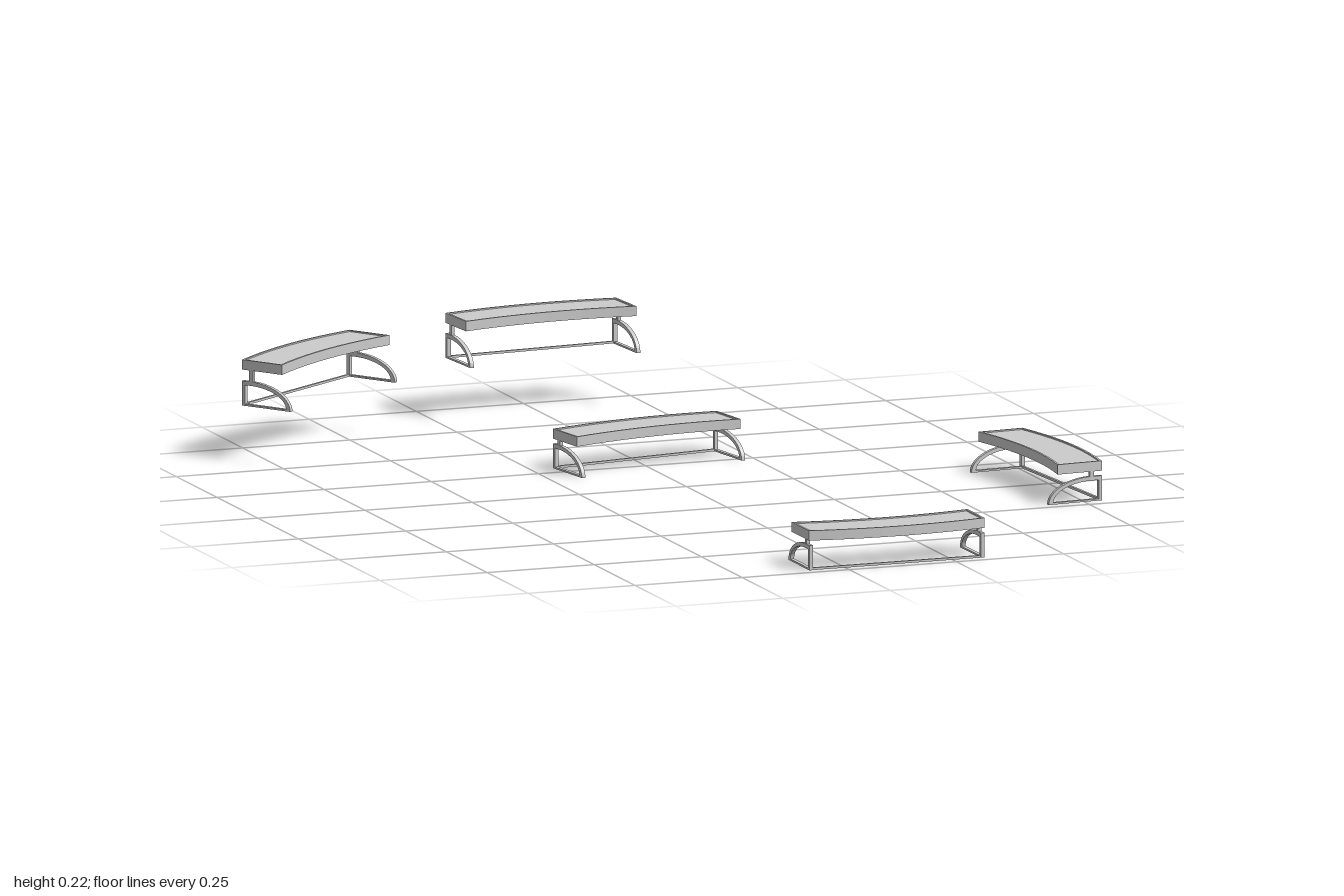
import * as THREE from 'three';

const material = new THREE.MeshStandardMaterial({ color: 0xcccccc });
const HALF = 0.205;   // half length of a bench
const DEPTH = 0.053;  // half depth of the seat
const SAG = 0.021;    // how far the middle bows backwards

function mesh(name, geometry, x = 0, y = 0, z = 0) {
  const m = new THREE.Mesh(geometry, material);
  m.name = name;
  m.position.set(x, y, z);
  return m;
}

// Outline of the bowed seat, pulled in by an inset
function seatOutline(inset) {
  const steps = 10, half = HALF - inset;
  const edge = (offset) => Array.from({ length: steps + 1 }, (_, i) => {
    const x = -half + (2 * half * i) / steps;
    return new THREE.Vector2(x, offset + SAG * (1 - (x / HALF) ** 2));
  });
  return [...edge(inset - DEPTH), ...edge(DEPTH - inset).reverse()];
}

function flatExtrude(shape, depth) {
  return new THREE.ExtrudeGeometry(shape, { depth, bevelEnabled: false }).rotateX(-Math.PI / 2);
}

// Quarter-arch profile: upright at the back, arch down to the front
function archPath(back, bottom, top, front) {
  const centre = -0.03;
  const path = new THREE.Shape();
  path.moveTo(back, bottom);
  path.lineTo(front, bottom);
  path.absellipse(centre, bottom, front - centre, top - bottom, 0, Math.PI / 2, false, 0);
  path.lineTo(back, top);
  path.closePath();
  return path;
}

function legGeometry() {
  const width = 0.009;
  const shape = archPath(-0.054, 0, 0.055, 0.074);
  shape.holes.push(archPath(-0.046, 0.004, 0.046, 0.063));
  const g = new THREE.ExtrudeGeometry(shape, { depth: width, bevelEnabled: false, curveSegments: 12 });
  return g.translate(0, 0, -width / 2).rotateY(-Math.PI / 2);
}

function createBench(height) {
  const bench = new THREE.Group();
  const thickness = 0.022, under = height - thickness;

  // Seat: a thin raised rim around a slightly recessed panel
  const rim = new THREE.Shape(seatOutline(0));
  rim.holes.push(new THREE.Path(seatOutline(0.005)));
  bench.add(mesh('seatRim', flatExtrude(rim, thickness), 0, under));
  bench.add(mesh('seatPanel', flatExtrude(new THREE.Shape(seatOutline(0.005)), thickness - 0.003), 0, under));

  // Arched end legs, each with a short post up to the seat
  const leg = legGeometry();
  for (const side of [-1, 1]) {
    const x = side * (HALF - 0.005);
    const postHeight = under - 0.05;
    bench.add(mesh('archedLeg', leg, x));
    bench.add(mesh('seatPost', new THREE.BoxGeometry(0.008, postHeight, 0.01), x, 0.05 + postHeight / 2, -0.03));
  }

  // Floor bar joining the two uprights
  bench.add(mesh('floorBar', new THREE.BoxGeometry(2 * HALF - 0.015, 0.005, 0.006), 0, 0.0025, -0.05));
  return bench;
}

export function createModel() {
  const model = new THREE.Group();
  model.name = 'curvedBenches';

  // name, x, base y, z, turn, height
  const layout = [
    ['frontBench', 0.12, 0, 0.923, Math.PI, 0.088],
    ['leftBench', 0.724, 0, 0.266, -1.499, 0.088],
    ['middleBench', 0.012, 0, -0.274, 0.15, 0.088],
    ['backBench', 0.014, 0.121, -0.929, 0.07, 0.1],
    ['rightBench', -0.6, 0.121, -0.696, 0.6, 0.102],
  ];
  for (const [name, x, y, z, turn, height] of layout) {
    const bench = createBench(height);
    bench.name = name;
    bench.position.set(x, y, z);
    bench.rotation.y = turn;
    model.add(bench);
  }
  return model;
}
